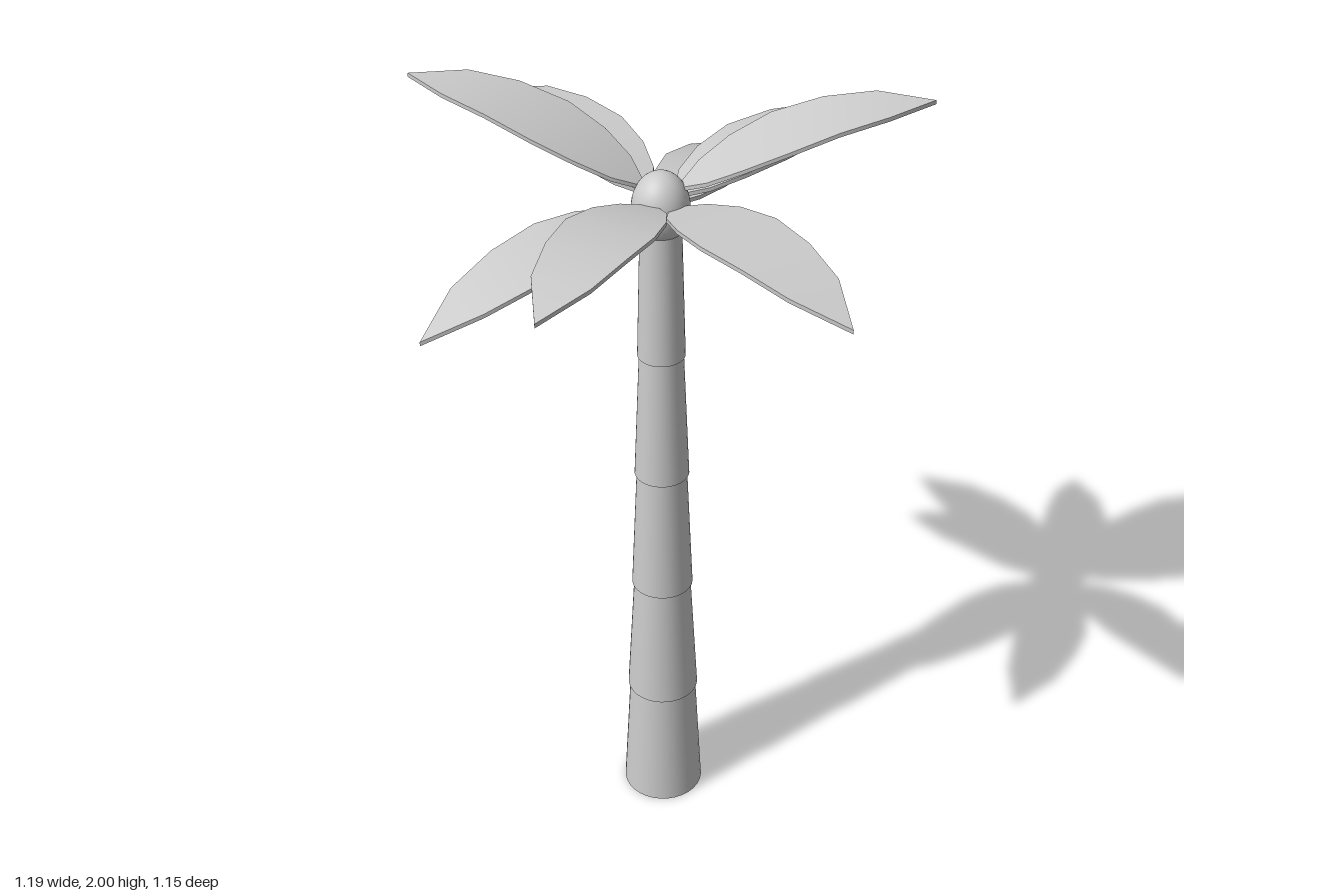
import * as THREE from 'three';

const CX = -0.033, CZ = -0.008; // trunk axis
const CROWN_Y = 1.8;

// Leaf stations: fraction of length and half width
const STATIONS = [[0, 0.015], [0.08, 0.057], [0.21, 0.088], [0.38, 0.104], [0.585, 0.093], [0.79, 0.068], [1, 0]];

// A thin arched leaf, running along +x, from a box whose rings follow the stations
function leafGeometry(length, y0, y1) {
  const n = STATIONS.length - 1;
  const geo = new THREE.BoxGeometry(1, 0.01, 2, n, 1, 2);
  const p = geo.attributes.position;
  for (let i = 0; i < p.count; i++) {
    const [t, halfWidth] = STATIONS[Math.round((p.getX(i) + 0.5) * n)];
    const y = y0 + (y1 - y0) * t + 0.052 * 4 * t * (1 - t);
    p.setXYZ(i, t * length, y + p.getY(i) - 0.005, p.getZ(i) * halfWidth);
  }
  geo.computeVertexNormals();
  return geo;
}

export function createModel() {
  const model = new THREE.Group();
  model.name = 'palmTree';
  const mat = new THREE.MeshStandardMaterial({ color: 0xcccccc });
  const leafMat = new THREE.MeshStandardMaterial({ color: 0xcccccc, side: THREE.DoubleSide });

  // Trunk: stacked tapering segments, each overhanging the one below
  const trunk = new THREE.Group();
  trunk.name = 'trunk';
  const radii = [[0.105, 0.087], [0.092, 0.073], [0.078, 0.063], [0.068, 0.054], [0.058, 0.049]];
  const h = 0.346;
  radii.forEach(([bottom, top], i) => {
    const seg = new THREE.Mesh(new THREE.CylinderGeometry(top, bottom, h, 32), mat);
    seg.name = 'trunkSegment' + (i + 1);
    seg.position.set(CX, h * (i + 0.5), CZ);
    trunk.add(seg);
  });
  model.add(trunk);

  // Crown bulb
  const bulb = new THREE.Mesh(new THREE.SphereGeometry(0.068, 32, 20), mat);
  bulb.name = 'crownBulb';
  bulb.scale.y = 1.28;
  bulb.position.set(CX, 1.78, CZ);
  model.add(bulb);

  // Leaves, each given by its tip
  const tips = [
    [0.59, 2.0, -0.015], [0.535, 1.815, -0.355], [0.295, 1.615, -0.575], [-0.37, 1.83, -0.575],
    [-0.578, 2.0, -0.313], [-0.595, 1.66, 0.302], [-0.36, 1.84, 0.55], [0.292, 1.785, 0.572],
  ];
  const leaves = new THREE.Group();
  leaves.name = 'leaves';
  tips.forEach(([x, y, z], i) => {
    const dx = x - CX, dz = z - CZ, reach = Math.hypot(dx, dz), inner = 0.05;
    const baseY = CROWN_Y + (y - CROWN_Y) * 0.17;
    const leaf = new THREE.Mesh(leafGeometry(reach - inner, baseY, y), leafMat);
    leaf.name = 'leaf' + (i + 1);
    leaf.position.set(CX + (dx / reach) * inner, 0, CZ + (dz / reach) * inner);
    leaf.rotation.y = -Math.atan2(dz, dx);
    leaves.add(leaf);
  });
  model.add(leaves);

  return model;
}
